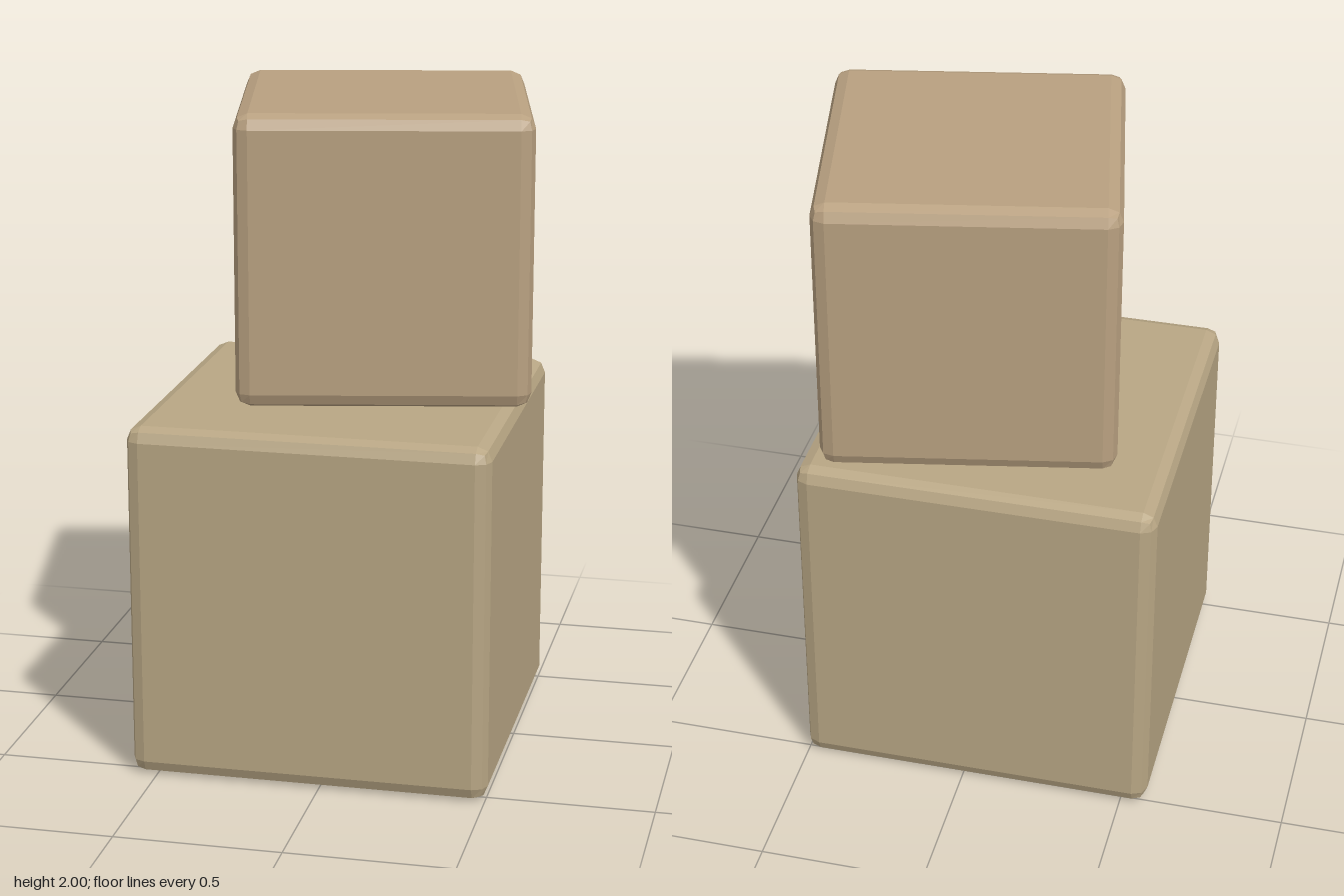
import * as THREE from 'three';
import { RoundedBoxGeometry } from 'three/addons/geometries/RoundedBoxGeometry.js';

// A cube with edges rounded by two flat facets
function bevelledCube(name, size, color, x, y, z, turn = 0) {
  const geometry = new RoundedBoxGeometry(size, size, size, 1, 0.043);
  const material = new THREE.MeshStandardMaterial({ color, flatShading: true });
  const cube = new THREE.Mesh(geometry, material);
  cube.name = name;
  cube.position.set(x, y, z);
  cube.rotation.y = turn;
  return cube;
}

export function createModel() {
  const model = new THREE.Group();
  model.name = 'stackedCrates';

  // Large crate on the ground
  model.add(bevelledCube('lowerCrate', 1.085, 0xb8a684, -0.037, 0.5425, 0.013));

  // Smaller crate, turned and hovering just above it
  model.add(bevelledCube('upperCrate', 0.865, 0xb8a080, 0.072, 1.5675, -0.053, 0.2));

  return model;
}
